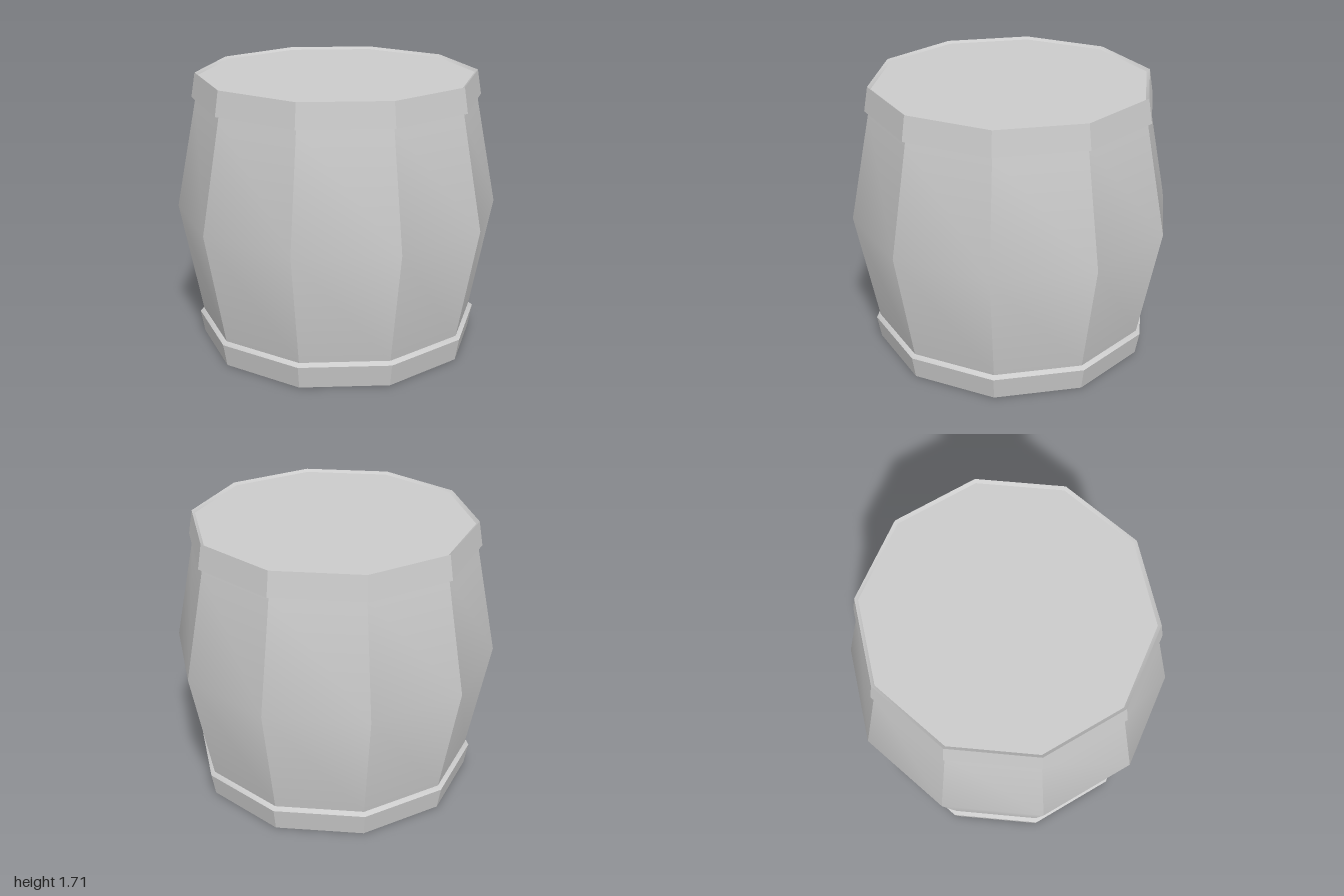
import * as THREE from 'three';
import { toCreasedNormals } from 'three/addons/utils/BufferGeometryUtils.js';

const SIDES = 10;
const HEIGHT = 1.71;
const material = new THREE.MeshStandardMaterial({ color: 0xcccccc });

// Ten-sided ring from a [radius, y] profile running bottom to top, corners on the x axis
function ring(name, profile) {
  const points = profile.map(([r, y]) => new THREE.Vector2(r, y));
  const lathe = new THREE.LatheGeometry(points, SIDES, Math.PI / 2);
  const mesh = new THREE.Mesh(toCreasedNormals(lathe, Math.PI / 6), material);
  mesh.name = name;
  return mesh;
}

// Flat ten-sided end panel, facing up (1) or down (-1)
function panel(name, radius, y, facing) {
  const geometry = new THREE.CircleGeometry(radius, SIDES).rotateX(-facing * Math.PI / 2);
  const mesh = new THREE.Mesh(geometry, material);
  mesh.name = name;
  mesh.position.y = y;
  return mesh;
}

export function createModel() {
  const barrel = new THREE.Group();
  barrel.name = 'barrel';

  // Bulging staves between the hoops
  barrel.add(ring('staves', [[0.865, 0.16], [1, 0.865], [0.865, 1.56]]));

  // Hoops flare towards the belly; each has a thin lip around its end panel
  barrel.add(ring('bottomHoop', [[0.85, 0.025], [0.865, 0], [0.89, 0.14], [0.865, 0.16]]));
  barrel.add(ring('topHoop', [[0.865, 1.56], [0.89, 1.56], [0.865, HEIGHT], [0.845, HEIGHT - 0.015]]));

  // Slightly sunken ends
  barrel.add(panel('base', 0.85, 0.025, -1));
  barrel.add(panel('lid', 0.845, HEIGHT - 0.015, 1));

  return barrel;
}
